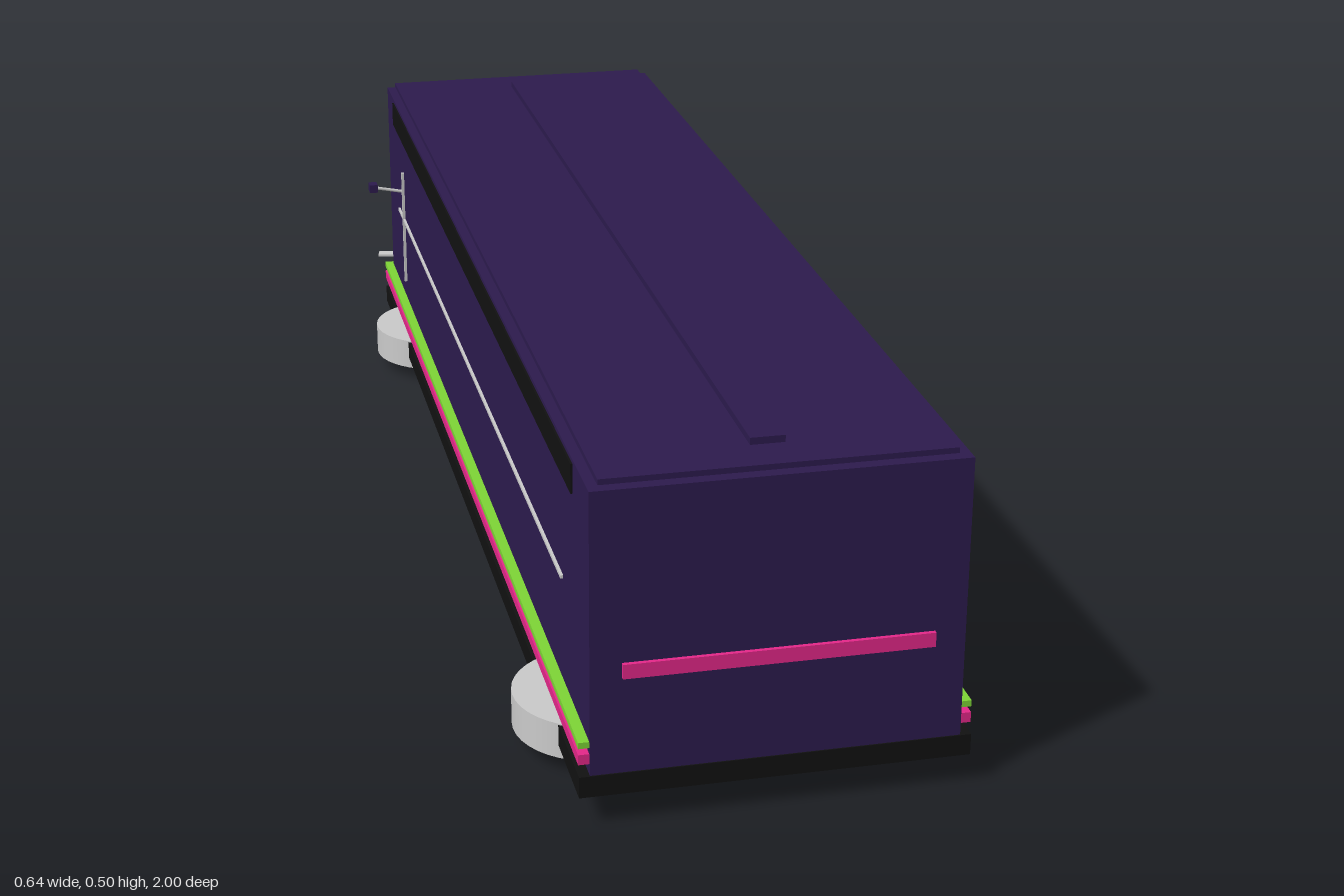
import * as THREE from 'three';

const mat = (color) => new THREE.MeshStandardMaterial({ color });

export function createModel() {
  const van = new THREE.Group();
  van.name = 'hoverVan';
  const purple = mat(0x2d1b4e), black = mat(0x111111), glass = mat(0x1c1524);
  const pink = mat(0xe6288a), green = mat(0x7ed636), grey = mat(0xcccccc);

  const add = (name, geometry, material, x = 0, y = 0, z = 0, parent = van) => {
    const mesh = new THREE.Mesh(geometry, material);
    mesh.name = name;
    mesh.position.set(x, y, z);
    parent.add(mesh);
    return mesh;
  };
  // Box given by its limits on each axis
  const box = (name, material, x0, x1, y0, y1, z0, z1, parent = van) =>
    add(name, new THREE.BoxGeometry(x1 - x0, y1 - y0, z1 - z0), material,
      (x0 + x1) / 2, (y0 + y1) / 2, (z0 + z1) / 2, parent);

  // Main shell
  box('chassis', black, -0.27, 0.27, 0.045, 0.076, -0.945, 0.995);
  box('body', purple, -0.255, 0.255, 0.076, 0.484, -0.94, 0.993);
  box('roof', purple, -0.24, 0.24, 0.484, 0.492, -0.94, 0.975);
  box('roofStrip', purple, -0.024, 0.024, 0.492, 0.502, -0.87, 0.91);
  box('frontStripe', pink, -0.212, 0.212, 0.217, 0.238, 0.99, 0.999);

  // Stripes around the sides and back
  for (const [name, material, y0, y1] of [['greenStripe', green, 0.116, 0.125], ['pinkStripe', pink, 0.092, 0.107]]) {
    for (const s of [-1, 1]) {
      const x = [s * 0.25, s * 0.27].sort((a, b) => a - b);
      box(name, material, x[0], x[1], y0, y1, -0.95, 0.99);
    }
    box(name + 'Back', material, -0.26, 0.26, y0, y1, -0.95, -0.935);
  }

  // Side rails under the roof
  for (const s of [-1, 1]) {
    add('sideRail', new THREE.BoxGeometry(0.01, 0.042, 1.74), black, s * 0.253, 0.457, 0.02);
  }

  // Large side window with its frame
  box('windowFrame', purple, 0.25, 0.26, 0.132, 0.432, -0.86, 0.895);
  box('sideWindow', glass, 0.25, 0.263, 0.138, 0.426, -0.845, 0.885);

  // Thin trim lines on the other side
  box('sideTrim', grey, -0.259, -0.25, 0.28, 0.285, -0.8, 0.82);
  box('doorTrim', grey, -0.26, -0.25, 0.16, 0.375, -0.735, -0.73);

  // Back end: leaning panel with trim lines
  const panel = new THREE.Group();
  panel.name = 'backPanel';
  panel.position.set(0, 0.345, -0.948);
  panel.rotation.x = -0.1;
  van.add(panel);
  box('backPanelFace', purple, -0.245, 0.245, -0.132, 0.132, -0.01, 0.01, panel);
  box('backTrim', grey, -0.2, 0.2, 0.032, 0.04, -0.014, -0.008, panel);
  box('backTrimThin', grey, -0.18, 0.18, 0.01, 0.013, -0.013, -0.008, panel);

  // Back bumper with grille slats
  box('bumper', purple, -0.235, 0.235, 0.135, 0.22, -0.975, -0.935);
  for (let i = 0; i < 3; i++) {
    const y = 0.152 + i * 0.02;
    box('grilleSlat', black, -0.19, 0.19, y, y + 0.01, -0.982, -0.97);
  }

  for (const s of [-1, 1]) {
    // Upright lights and small winglets at the back corners
    add('backLight', new THREE.BoxGeometry(0.012, 0.07, 0.016), pink, s * 0.238, 0.237, -0.958);
    const wing = add('winglet', new THREE.BoxGeometry(0.05, 0.004, 0.022), grey, s * 0.253, 0.129, -0.985);
    wing.rotation.y = s * 0.2;

    // Mirrors
    const arm = add('mirrorArm', new THREE.CylinderGeometry(0.003, 0.003, 0.06, 8), grey, s * 0.277, 0.336, -0.755);
    arm.rotation.z = -s * (Math.PI / 2 - 0.2);
    add('mirror', new THREE.BoxGeometry(0.015, 0.015, 0.02), purple, s * 0.311, 0.343, -0.755);

    // Hover pods
    for (const z of [0.76, -0.718]) {
      const pod = new THREE.Group();
      pod.name = 'hoverPod';
      pod.position.set(s * 0.202, 0, z);
      van.add(pod);
      add('podShell', new THREE.CylinderGeometry(0.115, 0.115, 0.053, 40), grey, 0, 0.0515, 0, pod);
      const ring = add('podRing', new THREE.TorusGeometry(0.079, 0.012, 10, 40), green, 0, 0.025, 0, pod);
      ring.rotation.x = Math.PI / 2;
      add('podThruster', new THREE.CylinderGeometry(0.067, 0.067, 0.03, 32), black, 0, 0.015, 0, pod);
    }
  }
  return van;
}
